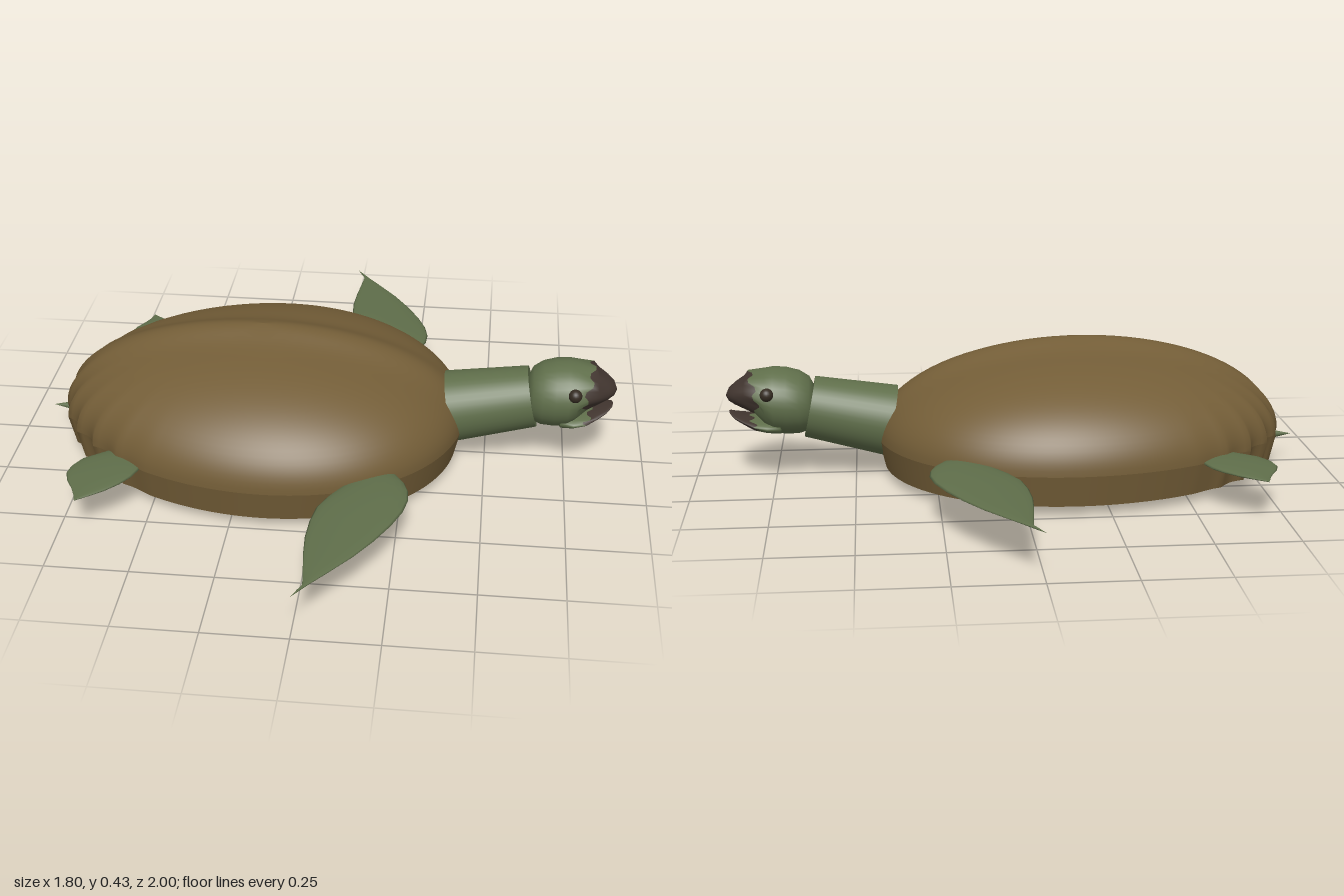
import * as THREE from 'three';

const mat = (name, color, side = THREE.FrontSide) => {
  const m = new THREE.MeshStandardMaterial({ color, side });
  m.name = name;
  return m;
};

// Smooth skin over closed rings of points; rings from `split` on use the second material
function loft(rings, split = Infinity) {
  const n = rings[0].length, pos = rings.flat(2), idx = [];
  let splitAt = -1;
  for (let i = 0; i < rings.length - 1; i++) {
    if (i === split) splitAt = idx.length;
    for (let j = 0; j < n; j++) {
      const k = (j + 1) % n;
      const a = i * n + j, b = i * n + k, c = b + n, d = a + n;
      idx.push(a, b, c, a, c, d);
    }
  }
  const g = new THREE.BufferGeometry();
  g.setAttribute('position', new THREE.Float32BufferAttribute(pos, 3));
  g.setIndex(idx);
  g.computeVertexNormals();
  if (splitAt >= 0) {
    g.addGroup(0, splitAt, 0);
    g.addGroup(splitAt, idx.length - splitAt, 1);
  }
  return g;
}

const ring = (n, fn) => Array.from({ length: n }, (_, j) => fn((j / n) * Math.PI * 2, j));

// Egg-shaped shell outline with a scalloped rear edge
const SEG = 192, CX = -0.21;
function shellRing(scale, y, jag, ridge = 0) {
  return ring(SEG, (t) => {
    const rear = THREE.MathUtils.smoothstep(Math.abs(t - Math.PI), 0.6, 1.2);
    const s = scale * (1 - 0.035 * jag * (1 - rear) * Math.abs(Math.cos(16 * t)));
    const x = CX + 0.64 * s * Math.cos(t);
    const z = -0.5 * s * Math.sin(t) * (1 + 0.1 * Math.cos(t));
    return [x, y + ridge * Math.exp(-((z / 0.07) ** 2)), z];
  });
}

// Elliptical rings along x: [x, half width, top, bottom]
const beakShift = (a, j) => 0.022 * Math.max(0, Math.cos(a)) + (j % 4 < 2 ? 0.008 : -0.008);
const headRings = (rows, zigzag) => rows.map(([x, w, top, bot], i) =>
  ring(32, (a, j) => [
    x + (i === zigzag ? beakShift(a, j) : 0),
    (top + bot) / 2 + ((top - bot) / 2) * Math.cos(a),
    w * Math.sin(a),
  ]));

// Thin lens-shaped rings along z: [z, x min, x max, half thickness]
const finRings = (rows) => rows.map(([z, x0, x1, h]) =>
  ring(20, (a) => [(x0 + x1) / 2 + ((x1 - x0) / 2) * Math.cos(a), h * Math.sin(a), z]));

export function createModel() {
  const model = new THREE.Group();
  const shellMat = mat('shellBrown', 0x735d37);
  const bellyMat = mat('bellyTan', 0xb5a684);
  const skin = mat('skinGreen', 0x5f6e4a);
  const beakMat = mat('beakBrown', 0x41352f);
  const eyeMat = mat('eyeBrown', 0x352c22);

  const add = (name, geometry, material, x = 0, y = 0, z = 0) => {
    const m = new THREE.Mesh(geometry, material);
    m.name = name;
    m.position.set(x, y, z);
    model.add(m);
    return m;
  };

  // Shell: keeled dome, rim band and belly plate
  const dome = [];
  for (let i = 0; i <= 24; i++) {
    const p = (i / 24) * Math.PI / 2, s = Math.sin(p);
    dome.push(shellRing(Math.cos(p), 0.125 + 0.275 * s, (1 - s) ** 2, 0.03 * s));
  }
  add('shellDome', loft(dome), shellMat);
  add('shellRim', loft([shellRing(0.965, 0.03, 1), shellRing(1, 0.125, 1)]), shellMat);
  const belly = [0, 0.3, 0.6, 0.85, 1].map((s) =>
    shellRing(0.965 * s, 0.03 * s ** 3, s ** 2));
  add('bellyPlate', loft(belly), bellyMat);

  // Neck: tapered cylinder leaning up and forward
  const from = new THREE.Vector3(0.385, 0.168, 0), to = new THREE.Vector3(0.64, 0.22, 0);
  const dir = to.clone().sub(from);
  const neck = add('neck', new THREE.CylinderGeometry(0.097, 0.113, dir.length(), 40), skin);
  neck.position.copy(from).add(to).multiplyScalar(0.5);
  neck.quaternion.setFromUnitVectors(new THREE.Vector3(0, 1, 0), dir.normalize());

  // Head with the upper beak
  const head = [
    [0.622, 0.0, 0.23, 0.23], [0.625, 0.06, 0.285, 0.17], [0.64, 0.088, 0.316, 0.148],
    [0.67, 0.106, 0.335, 0.138], [0.71, 0.114, 0.346, 0.136], [0.75, 0.114, 0.349, 0.142],
    [0.775, 0.109, 0.345, 0.165], [0.8, 0.101, 0.338, 0.203], [0.84, 0.081, 0.323, 0.22],
    [0.87, 0.057, 0.303, 0.234], [0.89, 0.033, 0.285, 0.246], [0.9, 0, 0.262, 0.262],
  ];
  add('headAndUpperBeak', loft(headRings(head, 7), 7), [skin, beakMat]);

  // Lower jaw with its beak tip
  const jaw = [
    [0.7, 0, 0.18, 0.18], [0.73, 0.09, 0.2, 0.142], [0.77, 0.096, 0.195, 0.148],
    [0.8, 0.087, 0.194, 0.157], [0.84, 0.066, 0.198, 0.172], [0.87, 0.043, 0.205, 0.187],
    [0.888, 0.02, 0.212, 0.203], [0.892, 0, 0.212, 0.212],
  ];
  add('lowerJaw', loft(headRings(jaw, 3), 3), [skin, beakMat]);

  // Flippers, eyes: one per side
  const frontFin = [
    [0.35, 0.16, 0.2, 0], [0.37, 0.14, 0.235, 0.014], [0.42, 0.11, 0.268, 0.016],
    [0.46, 0.085, 0.282, 0.017], [0.51, 0.052, 0.285, 0.017], [0.57, 0.024, 0.273, 0.016],
    [0.64, 0.012, 0.245, 0.014], [0.72, 0.008, 0.203, 0.011], [0.8, 0.013, 0.152, 0.009],
    [0.88, 0.022, 0.09, 0.006], [0.94, 0.028, 0.042, 0.004], [0.965, 0.016, 0.024, 0.003],
    [1.0, 0, 0, 0],
  ];
  const rearFin = [
    [0.29, -0.62, -0.6, 0], [0.325, -0.66, -0.55, 0.012], [0.37, -0.72, -0.535, 0.014],
    [0.41, -0.742, -0.535, 0.014], [0.45, -0.748, -0.549, 0.013], [0.49, -0.735, -0.575, 0.011],
    [0.53, -0.712, -0.612, 0.008], [0.56, -0.699, -0.648, 0.005], [0.59, -0.69, -0.688, 0.002],
  ];
  const frontGeo = loft(finRings(frontFin)), rearGeo = loft(finRings(rearFin));
  const eyeGeo = new THREE.SphereGeometry(0.021, 20, 14);
  for (const [side, s] of [['left', 1], ['right', -1]]) {
    const turn = s > 0 ? 0 : Math.PI;
    add(side + 'FrontFlipper', frontGeo, skin, 0, 0.14, 0).rotation.x = turn;
    add(side + 'RearFlipper', rearGeo, skin, 0, 0.125, 0).rotation.x = turn;
    add(side + 'Eye', eyeGeo, eyeMat, 0.767, 0.285, s * 0.1);
  }

  // Tail
  const tail = add('tail', new THREE.ConeGeometry(0.024, 0.11, 20), skin, -0.85, 0.09, 0);
  tail.rotation.z = Math.PI / 2;

  return model;
}
